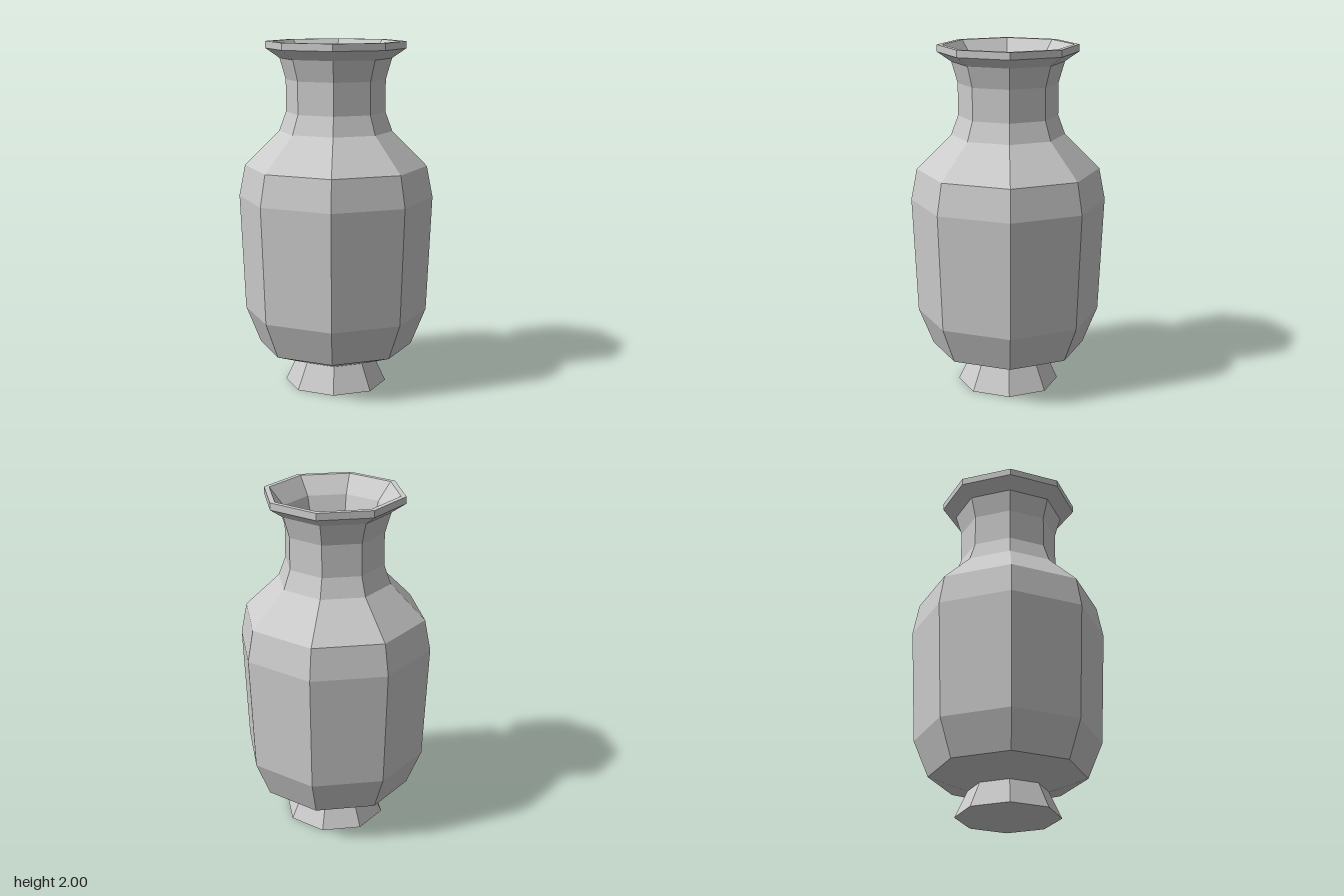
import * as THREE from 'three';

const SIDES = 8;

export function createModel() {
  const vase = new THREE.Group();
  vase.name = 'vase';
  const material = new THREE.MeshStandardMaterial({ color: 0xcccccc, flatShading: true });

  // Octagonal ring of faces turned from a [radius, height] profile
  function addTurned(name, profile) {
    const points = profile.map(([r, y]) => new THREE.Vector2(r, y));
    const mesh = new THREE.Mesh(new THREE.LatheGeometry(points, SIDES), material);
    mesh.name = name;
    vase.add(mesh);
  }

  // Flared foot with a closed underside
  addTurned('foot', [[0, 0], [0.295, 0], [0.225, 0.15]]);

  // Belly, from the foot up to the base of the neck
  addTurned('belly', [
    [0.225, 0.15], [0.445, 0.23], [0.53, 0.44], [0.56, 1.11], [0.525, 1.29], [0.325, 1.49],
  ]);

  // Narrow neck
  addTurned('neck', [[0.325, 1.49], [0.285, 1.6], [0.285, 1.785], [0.32, 1.905]]);

  // Flared lip with a flat rim
  addTurned('lip', [[0.32, 1.905], [0.4, 1.96], [0.4, 2], [0.37, 2]]);

  // Inside of the mouth, tapering down to a flat floor
  addTurned('mouthInterior', [[0.37, 2], [0.29, 1.9], [0.255, 1.78], [0.2, 1.49], [0, 1.49]]);

  return vase;
}
